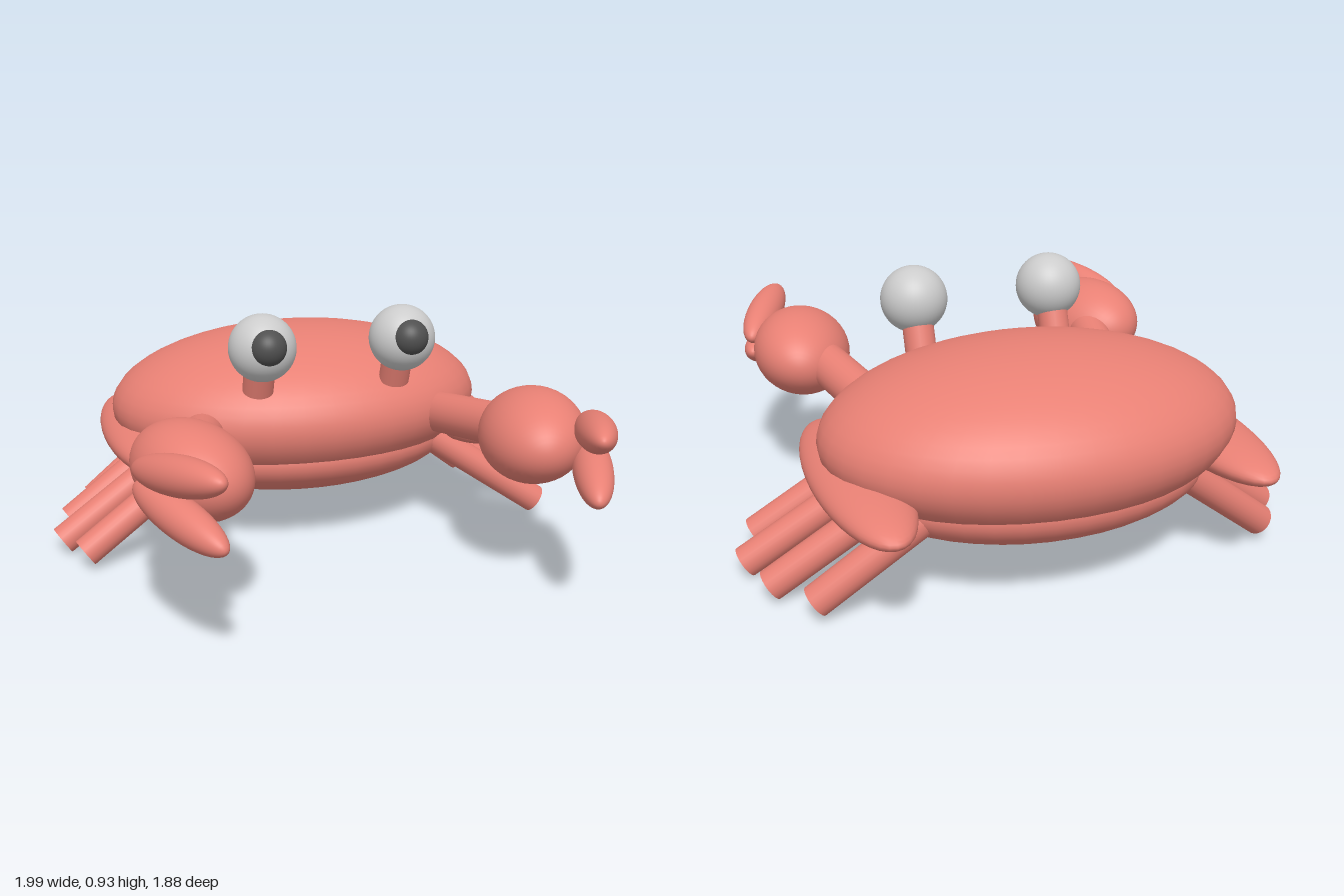
import * as THREE from 'three';

const shellMat = new THREE.MeshStandardMaterial({ color: 0xe88074 });
const eyeMat = new THREE.MeshStandardMaterial({ color: 0xcccccc });
const pupilMat = new THREE.MeshStandardMaterial({ color: 0x505050 });

const UP = new THREE.Vector3(0, 1, 0);
const vec = (p) => new THREE.Vector3(...p);

// Smooth ellipsoid whose long (y) axis points along dir
function ellipsoid(name, center, radii, mat = shellMat, dir = [0, 1, 0]) {
  const mesh = new THREE.Mesh(new THREE.SphereGeometry(1, 40, 28), mat);
  mesh.name = name;
  mesh.scale.set(...radii);
  mesh.quaternion.setFromUnitVectors(UP, vec(dir).normalize());
  mesh.position.set(...center);
  return mesh;
}

// Round rod between two points
function rod(name, from, to, radius) {
  const a = vec(from), b = vec(to);
  const mesh = new THREE.Mesh(new THREE.CylinderGeometry(radius, radius, a.distanceTo(b), 24), shellMat);
  mesh.name = name;
  mesh.quaternion.setFromUnitVectors(UP, b.clone().sub(a).normalize());
  mesh.position.copy(a).lerp(b, 0.5);
  return mesh;
}

// Outer end and inner end of each leg on the +x side, front to back
const LEGS = [
  { out: [0.9, 0.07, -0.065], inn: [0.47, 0.36, -0.135] },
  { out: [0.965, 0.055, -0.24], inn: [0.5, 0.36, -0.31] },
  { out: [0.915, 0.06, -0.43], inn: [0.48, 0.36, -0.5] },
  { out: [0.805, 0.075, -0.605], inn: [0.43, 0.36, -0.67] },
];

function buildSide(s, label) {
  const side = new THREE.Group();
  side.name = label + 'Side';
  const m = ([x, y, z]) => [s * x, y, z];

  // Flat lobe along the edge of the body
  side.add(ellipsoid(label + 'SideLobe', m([0.62, 0.395, -0.43]), [0.15, 0.078, 0.5]));

  // Walking legs
  LEGS.forEach((leg, i) => side.add(rod(label + 'Leg' + (i + 1), m(leg.inn), m(leg.out), 0.055)));

  // Arm and claw
  const claw = new THREE.Group();
  claw.name = label + 'Claw';
  claw.add(rod(label + 'Arm', m([0.46, 0.49, -0.03]), m([0.55, 0.54, 0.34]), 0.078));
  claw.add(ellipsoid(label + 'Palm', m([0.597, 0.543, 0.46]), [0.183, 0.26, 0.157], shellMat, m([-0.25, 0, 0.97])));
  for (const v of [1, -1]) {
    claw.add(ellipsoid(
      label + (v > 0 ? 'UpperPincer' : 'LowerPincer'),
      m([0.688, 0.56 + v * 0.065, 0.725]), [0.066, 0.235, 0.064],
      shellMat, m([-0.4, v * 0.16, 0.9]),
    ));
  }
  side.add(claw);

  // Stalked eye
  const eye = new THREE.Group();
  eye.name = label + 'Eye';
  eye.add(rod(label + 'EyeStalk', m([0.26, 0.645, -0.005]), m([0.26, 0.8, 0.05]), 0.056));
  eye.add(ellipsoid(label + 'Eyeball', m([0.26, 0.82, 0.07]), [0.12, 0.12, 0.12], eyeMat));
  eye.add(ellipsoid(label + 'Pupil', m([0.26, 0.838, 0.148]), [0.066, 0.066, 0.066], pupilMat));
  side.add(eye);
  return side;
}

export function createModel() {
  const crab = new THREE.Group();
  crab.name = 'crab';

  // Upper shell and slightly smaller underside
  crab.add(ellipsoid('upperShell', [0, 0.495, -0.415], [0.73, 0.287, 0.527]));
  crab.add(ellipsoid('underside', [0, 0.355, -0.41], [0.64, 0.195, 0.47]));

  crab.add(buildSide(1, 'left'), buildSide(-1, 'right'));
  return crab;
}
